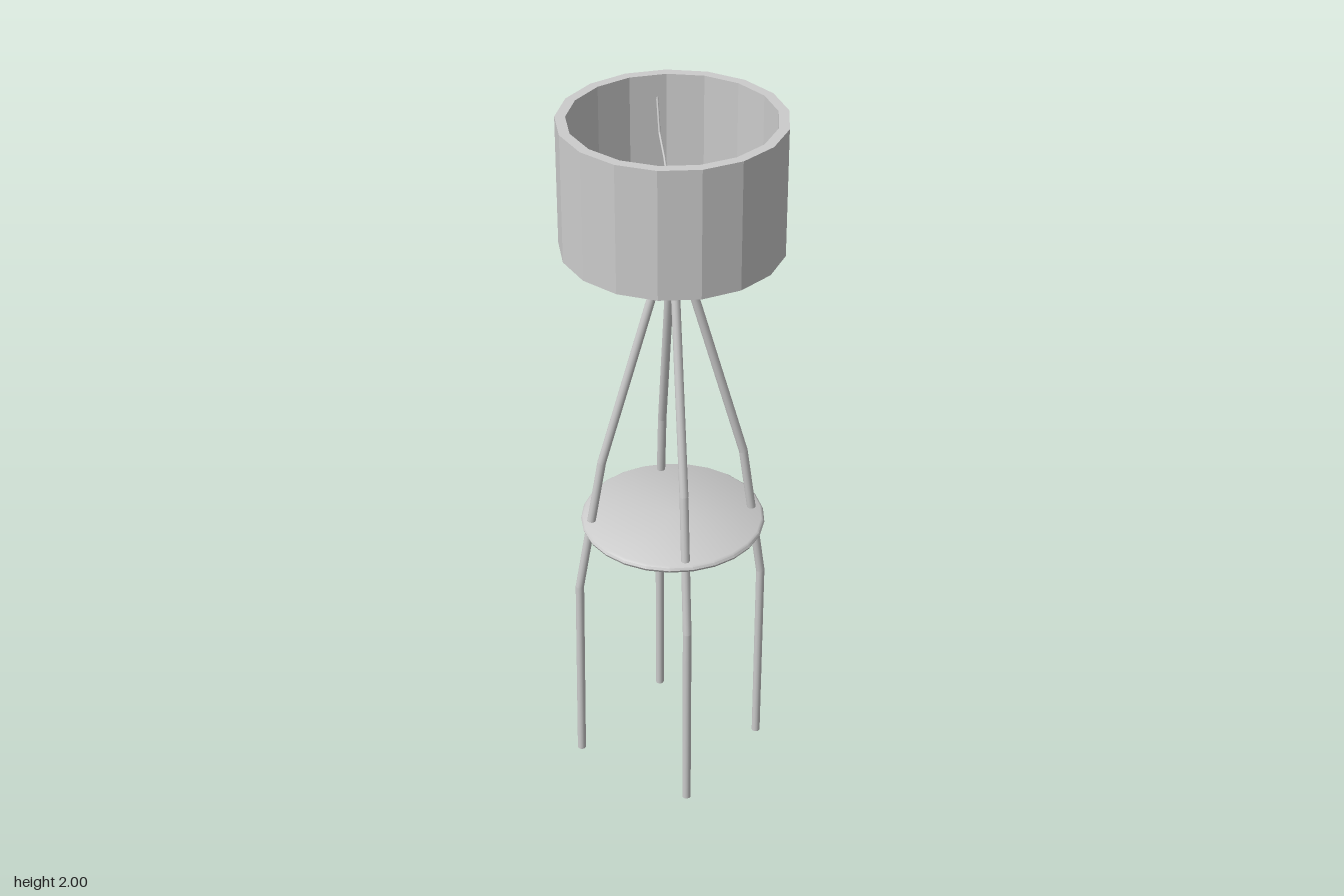
import * as THREE from 'three';
import { mergeGeometries, toCreasedNormals } from 'three/addons/utils/BufferGeometryUtils.js';

const smooth = new THREE.MeshStandardMaterial({ color: 0xcccccc });
const faceted = new THREE.MeshStandardMaterial({ color: 0xcccccc, flatShading: true });

function add(parent, name, geometry, material = smooth) {
  const mesh = new THREE.Mesh(geometry, material);
  mesh.name = name;
  parent.add(mesh);
  return mesh;
}

// Capped round rod that follows a list of points, with rounded joints at the bends
function rod(points, radius, sides) {
  const parts = [];
  const up = new THREE.Vector3(0, 1, 0);
  for (let i = 0; i < points.length - 1; i++) {
    const a = points[i], b = points[i + 1];
    const dir = b.clone().sub(a);
    const piece = new THREE.CylinderGeometry(radius, radius, dir.length(), sides);
    piece.applyQuaternion(new THREE.Quaternion().setFromUnitVectors(up, dir.normalize()));
    const mid = a.clone().lerp(b, 0.5);
    parts.push(piece.translate(mid.x, mid.y, mid.z));
    if (i > 0) parts.push(new THREE.SphereGeometry(radius, sides, 8).translate(a.x, a.y, a.z));
  }
  return mergeGeometries(parts);
}

// Closed ring or disc turned from an [r, y] profile, starting with a corner on +x
function turned(profile, sides) {
  const points = profile.map(([r, y]) => new THREE.Vector2(r, y));
  return new THREE.LatheGeometry(points, sides).rotateY(Math.PI / 2);
}

export function createModel() {
  const lamp = new THREE.Group();
  lamp.name = 'floorLamp';
  const cx = -0.003, cz = -0.001;

  // Four bent legs; each foot stands at a slightly different distance
  const legs = [
    { name: 'leftLeg', dir: [1, 0], knee: 0.25, foot: 0.249 },
    { name: 'rightLeg', dir: [-1, 0], knee: 0.263, foot: 0.271 },
    { name: 'frontLeg', dir: [0, 1], knee: 0.257, foot: 0.257 },
    { name: 'backLeg', dir: [0, -1], knee: 0.253, foot: 0.262 },
  ];
  for (const { name, dir, knee, foot } of legs) {
    const path = [[foot, 0], [knee, 0.59], [0.194, 1.0], [0.027, 1.6]];
    const points = path.map(([r, y]) => new THREE.Vector3(cx + dir[0] * r, y, cz + dir[1] * r));
    add(lamp, name, rod(points, 0.012, 12));
  }

  // Round table with a bevelled rim
  const table = turned([[0, 0.79], [0.244, 0.79], [0.25, 0.794], [0.253, 0.801],
    [0.25, 0.808], [0.244, 0.812], [0, 0.812]], 25);
  add(lamp, 'table', toCreasedNormals(table, 0.6)).position.set(cx, 0, cz);

  // Collar that joins the legs, stem and wire hub
  const collar = new THREE.CylinderGeometry(0.055, 0.055, 0.028, 32);
  add(lamp, 'collar', collar).position.set(cx, 1.607, cz);
  const stem = new THREE.CylinderGeometry(0.012, 0.012, 0.12, 16);
  add(lamp, 'stem', stem).position.set(cx, 1.67, cz);
  const hub = new THREE.CylinderGeometry(0.029, 0.029, 0.014, 24);
  add(lamp, 'shadeHub', hub).position.set(cx, 1.73, cz);

  // Thin wires that carry the shade
  const wires = new THREE.Group();
  wires.name = 'shadeWires';
  wires.position.set(cx, 0, cz);
  const wirePath = [[0.015, 1.73], [0.14, 1.825], [0.225, 1.855], [0.265, 1.94]];
  for (let i = 0; i < 4; i++) {
    const points = wirePath.map(([r, y]) => new THREE.Vector3(r, y, 0));
    add(wires, 'shadeWire', rod(points, 0.003, 8)).rotation.y = i * Math.PI / 2;
  }
  lamp.add(wires);

  // Thick open drum shade with flat panels
  const shade = turned([[0.292, 1.65], [0.292, 2], [0.265, 2], [0.265, 1.65], [0.292, 1.65]], 17);
  add(lamp, 'shade', shade, faceted).position.set(cx, 0, cz);

  return lamp;
}
